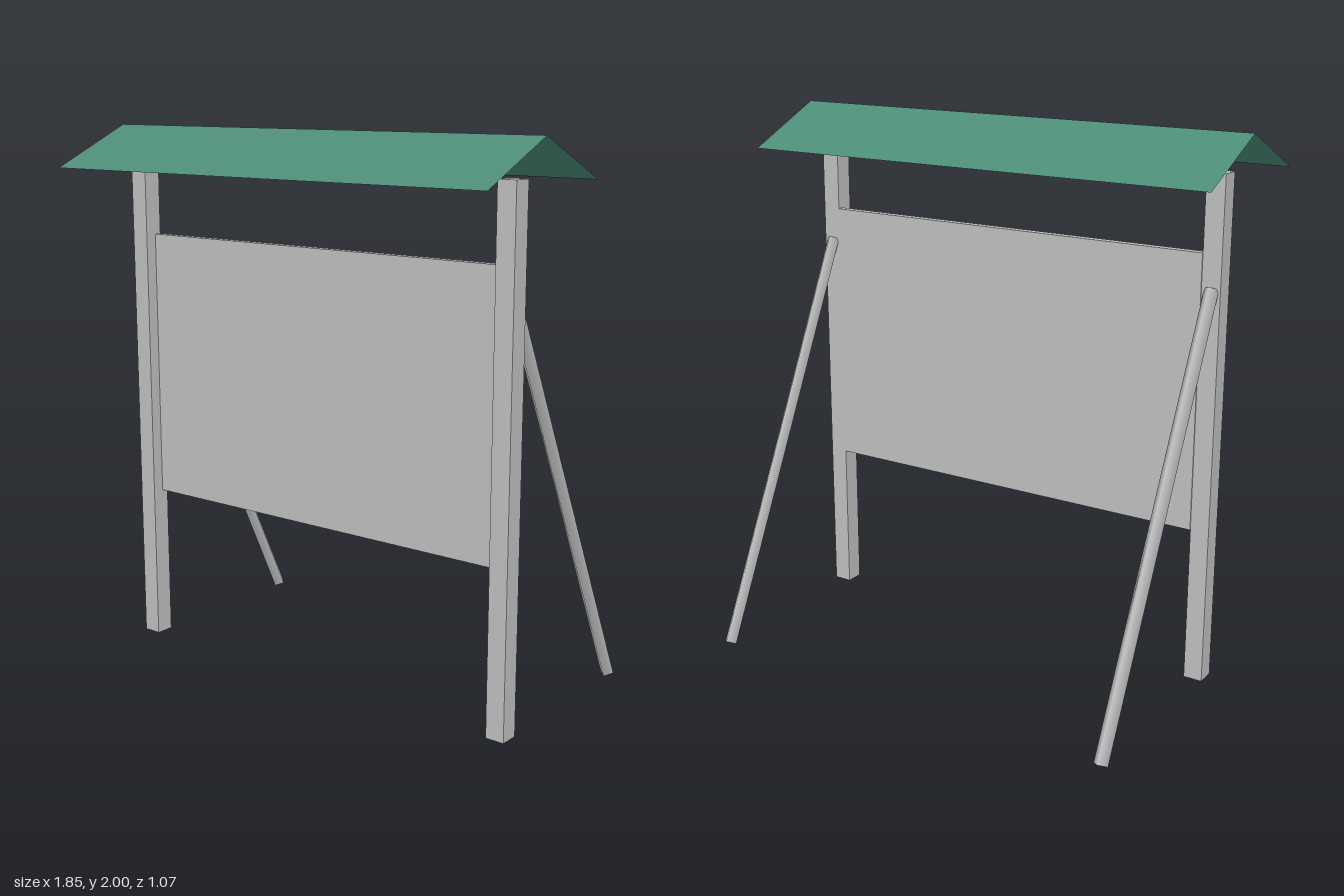
import * as THREE from 'three';

const grey = new THREE.MeshStandardMaterial({ color: 0xc0c0c0 });
grey.name = 'grey metal';
const green = new THREE.MeshStandardMaterial({ color: 0x4c8c77, side: THREE.DoubleSide });
green.name = 'green roof';

const POST_Z = 0.217;

function add(parent, name, geometry, material, x, y, z) {
  const mesh = new THREE.Mesh(geometry, material);
  mesh.name = name;
  mesh.position.set(x, y, z);
  parent.add(mesh);
  return mesh;
}

// Thin four-sided rod between two points, one corner facing backwards
function rod(parent, name, from, to, radius) {
  const dir = to.clone().sub(from);
  const mid = from.clone().add(to).multiplyScalar(0.5);
  const mesh = add(parent, name, new THREE.CylinderGeometry(radius, radius, dir.length(), 4), grey, mid.x, mid.y, mid.z);
  mesh.rotation.x = Math.atan2(dir.z, dir.y);
}

export function createModel() {
  const model = new THREE.Group();
  model.name = 'noticeBoard';

  // Posts with a slanted brace behind each
  for (const [side, s] of [['left', 1], ['right', -1]]) {
    const x = 0.81 * s;
    add(model, side + 'Post', new THREE.BoxGeometry(0.07, 1.85, 0.07), grey, x, 0.941, POST_Z);
    rod(model, side + 'Brace',
      new THREE.Vector3(x, 0.012, -0.514), new THREE.Vector3(x, 1.475, 0.188), 0.027);
  }

  // Display panel between the posts, slightly proud at the back
  add(model, 'panel', new THREE.BoxGeometry(1.55, 1.0, 0.03), grey, 0, 1.096, 0.193);

  // Two thin roof slopes meeting at the ridge
  const run = 0.322, drop = 0.148;
  const pitch = Math.atan2(drop, run);
  for (const [name, s] of [['frontRoof', 1], ['backRoof', -1]]) {
    const slope = new THREE.PlaneGeometry(1.85, Math.hypot(run, drop)).rotateX(-Math.PI / 2);
    const mesh = add(model, name, slope, green, 0, 2 - drop / 2, 0.214 + s * run / 2);
    mesh.rotation.x = s * pitch;
  }

  return model;
}
